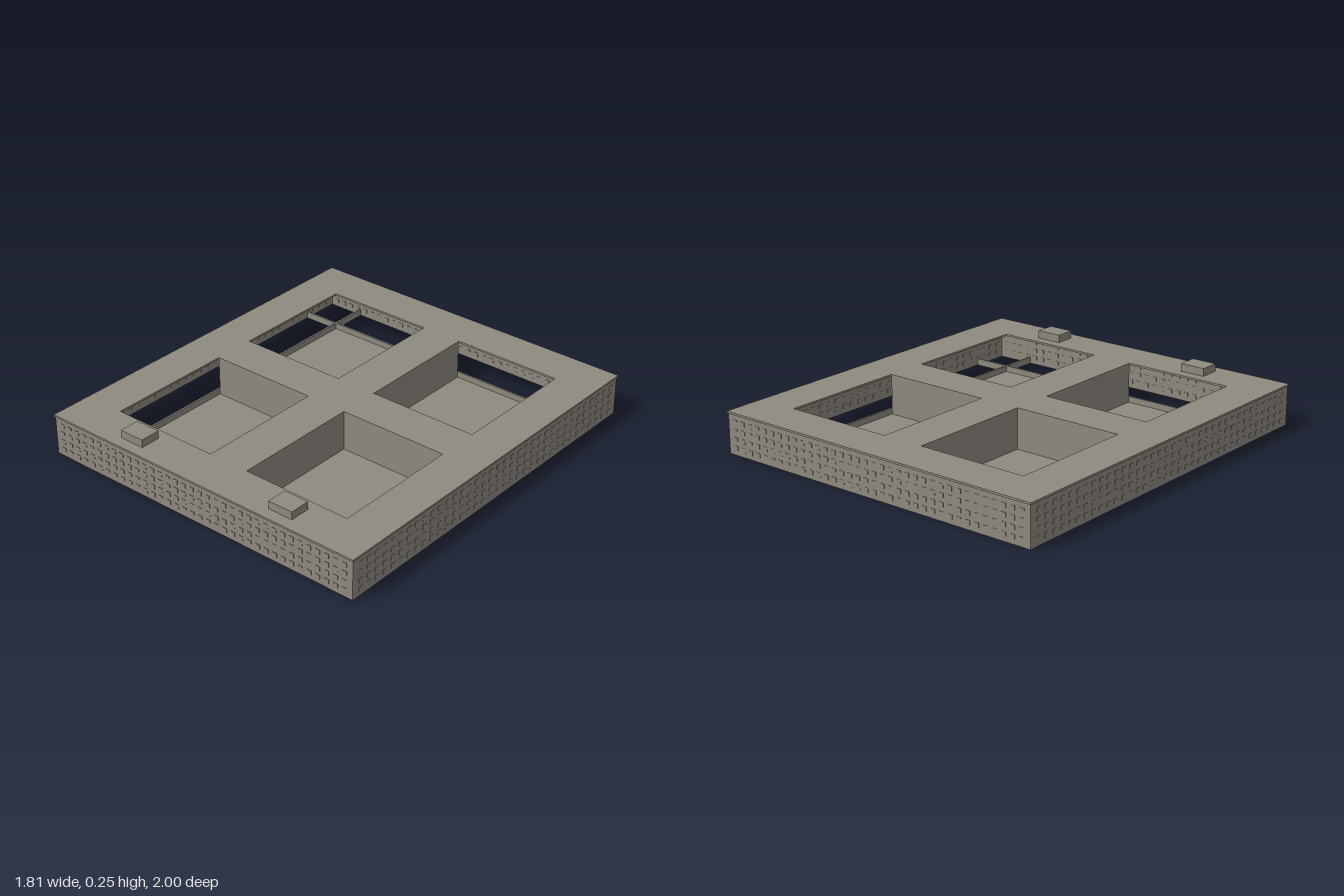
import * as THREE from 'three';
import { mergeGeometries } from 'three/addons/utils/BufferGeometryUtils.js';

const WALL_H = 0.2, HALF_X = 0.9, HALF_Z = 0.995;
const CORE_X = 0.69, CORE_Z = 0.78, INNER = 0.11;

export function createModel() {
  const group = new THREE.Group();
  const concrete = new THREE.MeshStandardMaterial({ color: 0x8f8a80 });
  concrete.name = 'warm grey concrete';

  const add = (name, geometry) => {
    const mesh = new THREE.Mesh(geometry, concrete);
    mesh.name = name;
    group.add(mesh);
    return mesh;
  };
  // Box given by its minimum and maximum corners
  const block = (x0, x1, y0, y1, z0, z1) =>
    new THREE.BoxGeometry(x1 - x0, y1 - y0, z1 - z0)
      .translate((x0 + x1) / 2, (y0 + y1) / 2, (z0 + z1) / 2);
  const rectangle = (path, x0, x1, y0, y1) => {
    path.moveTo(x0, y0);
    path.lineTo(x1, y0);
    path.lineTo(x1, y1);
    path.lineTo(x0, y1);
    path.closePath();
    return path;
  };

  // Roof slab with four courtyard openings
  const roof = rectangle(new THREE.Shape(), -0.905, 0.905, -1, 1);
  for (const sx of [-1, 1]) {
    for (const sz of [-1, 1]) {
      const xs = [sx * INNER, sx * CORE_X].sort((a, b) => a - b);
      const zs = [sz * INNER, sz * CORE_Z].sort((a, b) => a - b);
      roof.holes.push(rectangle(new THREE.Path(), ...xs, ...zs));
    }
  }
  add('roofSlab', new THREE.ExtrudeGeometry(roof, { depth: 0.01, bevelEnabled: false })
    .rotateX(-Math.PI / 2).translate(0, WALL_H, 0));

  // Courtyard floor
  add('courtyardFloor', block(-CORE_X, CORE_X, 0, 0.004, -CORE_Z, CORE_Z));

  // Cross-shaped wings between the courtyards
  add('crossWingX', block(-CORE_X, CORE_X, 0, WALL_H, -INNER, INNER));
  add('crossWingZ', block(-INNER, INNER, 0, WALL_H, -CORE_Z, CORE_Z));

  const t = 0.01;
  for (const s of [-1, 1]) {
    const side = s > 0 ? 'left' : 'right';
    const end = s > 0 ? 'front' : 'back';

    // Thin outer walls
    const wx = s * (HALF_X - t / 2), wz = s * (HALF_Z - t / 2);
    add(side + 'Wall', block(wx - t / 2, wx + t / 2, 0, WALL_H, -HALF_Z, HALF_Z));
    add(end + 'Wall', block(-HALF_X + t, HALF_X - t, 0, WALL_H, wz - t / 2, wz + t / 2));

    // Low base beams along the courtyard edges, reaching the outer walls
    const bx = s * (CORE_X + 0.005), bz = s * (CORE_Z + 0.005);
    add(side + 'BaseBeam', block(bx - 0.005, bx + 0.005, 0, 0.035, -HALF_Z + t, HALF_Z - t));
    add(end + 'BaseBeam', block(-HALF_X + t, HALF_X - t, 0, 0.035, bz - 0.005, bz + 0.005));

    // Rows of small window frames set through each wall
    const sideWindows = [], endWindows = [];
    const columns = 36, rows = 4;
    for (let row = 0; row < rows; row++) {
      const y = 0.035 + row * 0.043;
      for (let i = 0; i < columns; i++) {
        const u = (i + 0.5) / columns * 2 - 1;
        const z = u * 0.97, x = u * 0.88;
        sideWindows.push(block(wx - 0.007, wx + 0.007, y - 0.011, y + 0.011, z - 0.013, z + 0.013));
        endWindows.push(block(x - 0.012, x + 0.012, y - 0.011, y + 0.011, wz - 0.007, wz + 0.007));
      }
    }
    add(side + 'Windows', mergeGeometries(sideWindows));
    add(end + 'Windows', mergeGeometries(endWindows));

    // Rooftop housings near the front edge
    add(side + 'RoofHousing', block(s * 0.45 - 0.067, s * 0.45 + 0.067, 0.209, 0.25, 0.835, 0.94));
  }

  return group;
}
